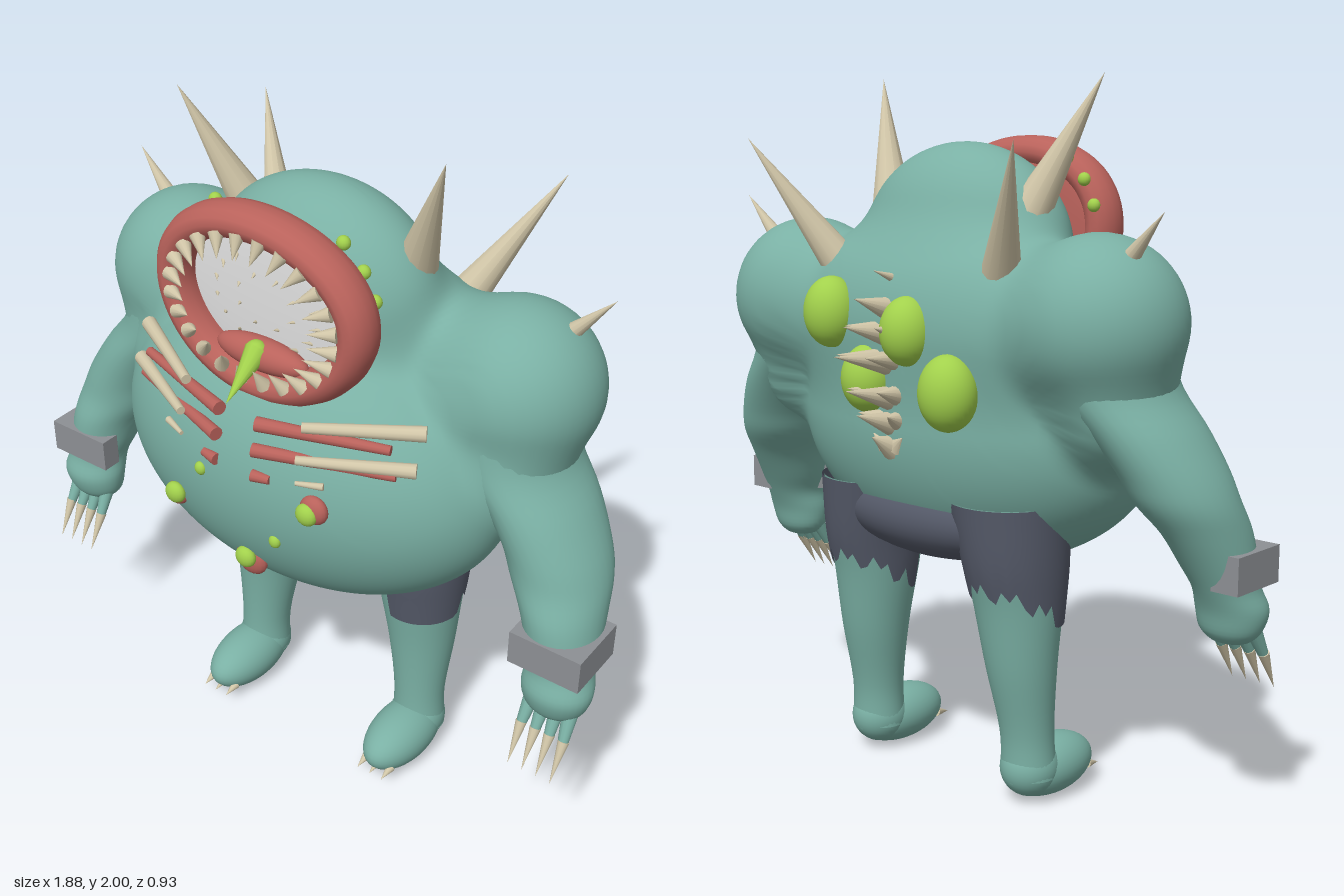
import * as THREE from 'three';
import { mergeVertices } from 'three/addons/utils/BufferGeometryUtils.js';

const mat = (name, color, side = THREE.FrontSide) => new THREE.MeshStandardMaterial({ name, color, side });
const V = (x, y, z) => new THREE.Vector3(x, y, z);

// body masses [centre, radii], mirrored in x and melted together
const MASSES = [
  [[0, 1.06, 0.09], [0.61, 0.42, 0.36]],        // belly
  [[0, 1.32, -0.045], [0.59, 0.3, 0.24]],       // upper back
  [[0, 1.53, 0.045], [0.345, 0.292, 0.21]],     // head
  [[0.54, 1.37, -0.045], [0.233, 0.23, 0.228]], // shoulder
  [[0.58, 1.17, -0.01], [0.14, 0.18, 0.17]],    // upper arm
];
const massDistance = p => {
  let d = 9;
  for (const [c, r] of MASSES) {
    const q = [Math.abs(p.x) - c[0], p.y - c[1], p.z - c[2]];
    const k0 = Math.hypot(q[0] / r[0], q[1] / r[1], q[2] / r[2]);
    const k1 = Math.hypot(q[0] / r[0] ** 2, q[1] / r[1] ** 2, q[2] / r[2] ** 2);
    const e = k0 * (k0 - 1) / Math.max(k1, 1e-6), h = Math.max(0.07 - Math.abs(d - e), 0) / 0.07;
    d = Math.min(d, e) - h * h * 0.0175;
  }
  return d;
};
// a sphere shrunk onto the melted masses
const bodyGeometry = () => {
  let g = new THREE.SphereGeometry(1, 160, 110);
  g.deleteAttribute('uv');
  g.deleteAttribute('normal');
  g = mergeVertices(g);
  const pos = g.attributes.position, centre = V(0, 1.2, 0), dir = V(0, 0, 0), p = V(0, 0, 0);
  for (let i = 0; i < pos.count; i++) {
    dir.fromBufferAttribute(pos, i).normalize();
    let r = 1.1;
    for (let n = 0; n < 70; n++) {
      const d = massDistance(p.copy(centre).addScaledVector(dir, r));
      if (d < 0.0004) break;
      r -= d * 0.7;
    }
    pos.setXYZ(i, p.x, p.y, p.z);
  }
  g.computeVertexNormals();
  return g;
};

export function createModel() {
  const root = new THREE.Group();
  root.name = 'monster';
  const skin = mat('teal skin', 0x7ab0a4), bone = mat('bone', 0xd1c6a8), red = mat('raw red flesh', 0xb9625b);
  const green = mat('slime green', 0xa2d14c), cloth = mat('dark cloth', 0x555a69, THREE.DoubleSide);
  const metal = mat('grey metal', 0x8d9094), lining = mat('pale mouth lining', 0xe0e0e0);

  const add = (name, geometry, material) => {
    const m = new THREE.Mesh(geometry, material);
    m.name = name;
    root.add(m);
    return m;
  };
  const blob = (name, material, p, r, seg = 20) => {
    const m = add(name, new THREE.SphereGeometry(1, seg * 2, seg), material);
    m.position.set(...p);
    m.scale.set(...r);
  };
  // tapered rod from a to b; a zero end radius makes a spike
  const rod = (name, material, a, b, r0, r1 = 0) => {
    const A = V(...a), B = V(...b);
    const m = add(name, new THREE.CylinderGeometry(r1, r0, A.distanceTo(B), 12), material);
    m.position.copy(A).lerp(B, 0.5);
    m.quaternion.setFromUnitVectors(V(0, 1, 0), B.sub(A).normalize());
  };

  // limb skin through horizontal rings [y, x, z, rx, rz], listed top down
  const loft = (rings, s, { from = 0, to = Math.PI * 2, end = () => 1, grow = 0, rows = 28, cols = 32 } = {}) => {
    const mid = new THREE.CatmullRomCurve3(rings.map(r => V(r[1], r[0], r[2])));
    const rad = new THREE.CatmullRomCurve3(rings.map(r => V(r[3], r[0], r[4])));
    const pos = [], idx = [], closed = to - from > 6.28, n = closed ? cols : cols + 1;
    for (let i = 0; i <= rows; i++) for (let j = 0; j < n; j++) {
      const a = from + (to - from) * j / cols, u = end(a, j) * i / rows;
      const c = mid.getPoint(u), r = rad.getPoint(u);
      pos.push(s * (c.x + (r.x + grow) * Math.cos(a)), c.y, c.z + (r.z + grow) * Math.sin(a));
    }
    for (let i = 0; i < rows; i++) for (let j = 0; j < cols; j++) {
      const a = i * n + j, b = i * n + (j + 1) % n, c = a + n, d = b + n;
      idx.push(...(s > 0 ? [a, b, c, b, d, c] : [a, c, b, b, c, d]));
    }
    const g = new THREE.BufferGeometry();
    g.setAttribute('position', new THREE.Float32BufferAttribute(pos, 3));
    g.setIndex(idx);
    g.computeVertexNormals();
    return g;
  };

  // torso, head and shoulders
  add('body', bodyGeometry(), skin);
  blob('trouserSeat', cloth, [0, 0.795, -0.065], [0.36, 0.125, 0.17]);
  const bellyZ = (x, y) => 0.09 + 0.36 * Math.sqrt(Math.max(0, 1 - (x / 0.61) ** 2 - ((y - 1.06) / 0.42) ** 2));

  // round mouth with lip, teeth and tongue
  const MY = 1.575;
  const oval = (a, rx, ry, z) => [rx * Math.cos(a), MY + ry * Math.sin(a), z];
  const lipPath = [];
  for (let i = 0; i < 20; i++) {
    const a = i / 20 * Math.PI * 2, w = 1 + 0.025 * Math.sin(3 * a + 0.6);
    lipPath.push(V(0.288 * w * Math.cos(a), 0.222 * w * Math.sin(a), 0));
  }
  const lip = add('lipRing', new THREE.TubeGeometry(new THREE.CatmullRomCurve3(lipPath, true), 80, 0.047, 14, true), red);
  lip.position.set(0, MY, 0.302);
  lip.scale.z = 1.38;
  blob('lipBack', red, [0, MY, 0.262], [0.285, 0.22, 0.02]);
  blob('mouthLining', lining, [0, MY, 0.28], [0.28, 0.215, 0.015]);
  for (let i = 0; i < 24; i++) {
    const a = (i + 0.5) / 24 * Math.PI * 2;
    rod('outerTooth', bone, oval(a, 0.268, 0.204, 0.355), oval(a, 0.198, 0.148, 0.388), 0.021);
  }
  for (const [k, n] of [[0.7, 16], [0.4, 8]]) for (let i = 0; i < n; i++) {
    const a = (i + 0.5) / n * Math.PI * 2;
    rod('innerTooth', bone, oval(a, 0.24 * k, 0.19 * k, 0.288), oval(a, 0.21 * k, 0.165 * k, 0.312), 0.006);
  }
  blob('tongue', red, [0, 1.435, 0.315], [0.145, 0.045, 0.045]);
  rod('tongueTip', green, [0, 1.455, 0.335], [0, 1.36, 0.465], 0.034);
  blob('tongueTipRoot', green, [0, 1.452, 0.338], [0.033, 0.033, 0.03], 8);

  // limb rings: y, x, z, rx, rz
  const armRings = [
    [1.35, 0.53, -0.03, 0.18, 0.2], [1.22, 0.57, -0.015, 0.155, 0.19], [1.1, 0.668, 0.005, 0.142, 0.175],
    [1, 0.732, 0.025, 0.137, 0.158], [0.93, 0.762, 0.042, 0.134, 0.147], [0.85, 0.798, 0.08, 0.113, 0.13],
    [0.76, 0.82, 0.11, 0.1, 0.105], [0.7, 0.833, 0.128, 0.09, 0.09], [0.64, 0.838, 0.15, 0.1, 0.085],
    [0.58, 0.835, 0.15, 0.085, 0.068], [0.55, 0.835, 0.15, 0.05, 0.04], [0.545, 0.835, 0.15, 0.001, 0.001]];
  const legRings = [
    [0.87, 0.25, -0.06, 0.16, 0.16], [0.7, 0.272, -0.05, 0.137, 0.148], [0.58, 0.278, -0.045, 0.124, 0.126],
    [0.4, 0.288, -0.042, 0.1, 0.1], [0.2, 0.297, -0.025, 0.077, 0.075], [0.08, 0.3, -0.02, 0.082, 0.077]];
  // cuff outline in x and -z, its inner rear corner cut where the wrist bulges out
  const cuffOutline = [[0.72, -0.22], [0.93, -0.22], [0.93, -0.03], [0.85, -0.03], [0.72, -0.16]];

  for (const s of [1, -1]) {
    // arm, cuff and clawed hand
    add('arm', loft(armRings, s, { rows: 48 }), skin);
    const cuffShape = new THREE.Shape(cuffOutline.map(([x, y]) => new THREE.Vector2(s * x, y)));
    const cuff = add('wristCuff', new THREE.ExtrudeGeometry(cuffShape, { depth: 0.1, bevelEnabled: false }), metal);
    cuff.rotation.x = -Math.PI / 2;
    cuff.position.y = 0.71;
    for (let i = 0; i < 4; i++) {
      const o = i - 1.5, x0 = s * (0.835 + o * 0.038), x1 = s * (0.837 + o * 0.043);
      rod('finger', skin, [x0, 0.6, 0.16], [x1, 0.5, 0.216], 0.024, 0.013);
      rod('fingerClaw', bone, [x1, 0.515, 0.208], [x1, 0.405, 0.268], 0.016);
    }
    // leg, foot and torn trouser leg open at the inner front, hem rising to the back
    add('leg', loft(legRings, s), skin);
    blob('foot', skin, [s * 0.3, 0.084, 0.065], [0.09, 0.084, 0.165]);
    blob('ankle', skin, [s * 0.3, 0.1, -0.015], [0.083, 0.085, 0.088]);
    for (const x of [0.257, 0.3, 0.343]) rod('toeClaw', bone, [s * x, 0.055, 0.19], [s * x, 0.045, 0.24], 0.014);
    const hem = (a, j) => Math.sin(a) > 0.1 ? 0.462 : 0.43 + 0.12 * Math.sin(a) + [0.04, -0.03, 0.01, -0.045, 0.02][j % 5];
    add('trouserLeg', loft(legRings, s, { from: -3.5, to: 1.8, end: hem, grow: 0.007, rows: 10, cols: 36 }), cloth);

    // large spikes
    rod('headSpike', bone, [s * 0.255, 1.63, 0.01], [s * 0.41, 2, 0.13], 0.06);
    rod('backSpike', bone, [s * 0.3, 1.48, -0.15], [s * 0.49, 1.83, -0.325], 0.056);
    rod('shoulderSpike', bone, [s * 0.64, 1.52, -0.08], [s * 0.77, 1.66, -0.095], 0.028);
    // exposed ribs with raw flesh
    rod('upperRib', bone, [s * 0.46, 1.335, 0.245], [s * 0.19, 1.33, 0.4], 0.021, 0.014);
    rod('upperRibFlesh', red, [s * 0.4, 1.298, 0.312], [s * 0.06, 1.302, 0.422], 0.013, 0.02);
    rod('lowerRib', bone, [s * 0.46, 1.245, 0.285], [s * 0.19, 1.247, 0.428], 0.02, 0.012);
    rod('lowerRibFlesh', red, [s * 0.42, 1.228, 0.316], [s * 0.06, 1.232, 0.44], 0.012, 0.019);
    rod('ribStub', bone, [s * 0.26, 1.18, bellyZ(0.26, 1.18) + 0.005], [s * 0.19, 1.178, bellyZ(0.19, 1.18) + 0.015], 0.01, 0.006);
    rod('ribStubFlesh', red, [s * 0.11, 1.155, bellyZ(0.11, 1.155)], [s * 0.06, 1.155, bellyZ(0.06, 1.155) + 0.005], 0.012, 0.017);
    // pimples behind the lip
    for (const [x, y] of [[0.2, 1.78], [0.26, 1.72], [0.295, 1.65]])
      blob('lipPimple', green, [s * x, y, 0.24], [0.019, 0.019, 0.017], 8);
  }

  // belly sores
  for (const [x, y, r, dx, dy] of [[0, 0.82, 0.052, 0, 0.02], [-0.24, 0.95, 0.036, 0.012, 0.018], [0.24, 1.108, 0.042, -0.01, -0.008]]) {
    blob('sore', red, [x, y, bellyZ(x, y)], [r, r, 0.025], 10);
    blob('soreBoil', green, [x + dx, y + dy, bellyZ(x + dx, y + dy) + 0.016], [0.032, 0.032, 0.022], 10);
  }
  for (const [x, y] of [[-0.12, 1.1], [0.12, 0.96]]) blob('smallBoil', green, [x, y, bellyZ(x, y)], [0.018, 0.02, 0.014], 8);

  // back boils
  for (const [x, y, r] of [[0.22, 1.36, 0.08], [0.075, 1.19, 0.076], [-0.075, 1.33, 0.076], [-0.22, 1.18, 0.083]])
    blob('backBoil', green, [x, y, -0.265], [r, r * 1.24, 0.078]);

  // spine thorns, the middle ones longest, with small side thorns
  [[1.49, 0.32], [1.42, 0.39], [1.35, 0.43], [1.275, 0.465], [1.18, 0.425], [1.11, 0.385], [1.045, 0.33]].forEach(([y, z], i) => {
    rod('spineThorn', bone, [0, y - 0.04, i ? -0.25 : -0.2], [0, y, -z], i ? 0.036 : 0.02);
    if (i > 1) for (const s of [1, -1])
      rod('sideThorn', bone, [s * 0.025, y - 0.03, -0.25], [s * 0.055, y - 0.005, -z + 0.06], 0.032);
  });
  return root;
}
